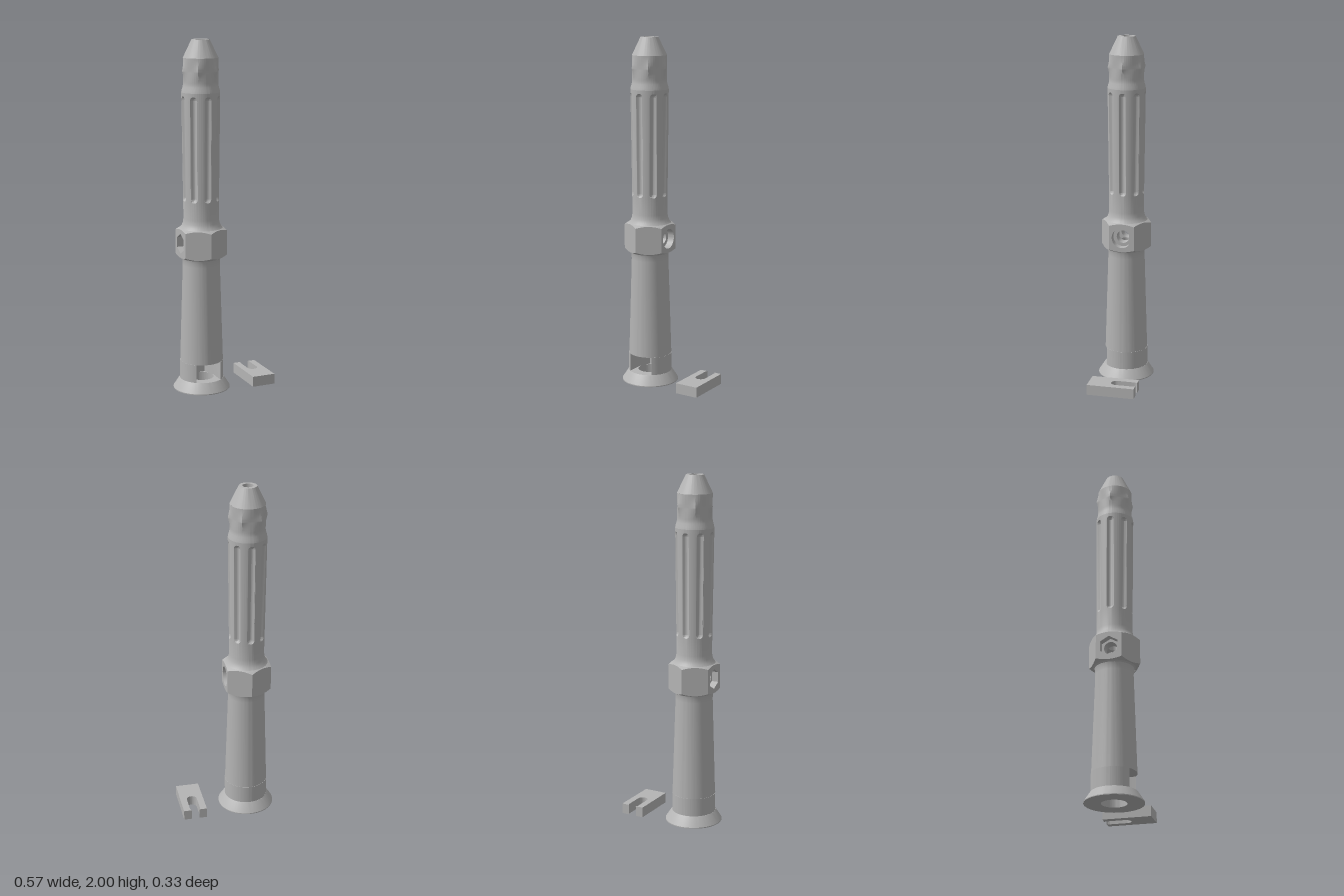
import * as THREE from 'three';
import { toCreasedNormals } from 'three/addons/utils/BufferGeometryUtils.js';

const N = 240; // segments around the axis
const DEG = Math.PI / 180;

// Radius of a regular hexagon with apothem a; the flat is centred on angle 0 unless shifted
function hexRadius(a, theta, shift = 0) {
  const s = 60 * DEG;
  const t = theta + shift + s / 2 + 4 * s;
  return a / Math.cos(t - Math.floor(t / s + 1e-6) * s - s / 2);
}

// Skin around the y axis; each row maps an angle to [radius, height]
function skin(rows, skip = () => false) {
  const pos = [], idx = [];
  for (const row of rows) {
    for (let j = 0; j <= N; j++) {
      const t = (j % N) / N * Math.PI * 2;
      const [r, y] = row(t);
      pos.push(r * Math.cos(t), y, r * Math.sin(t));
    }
  }
  for (let i = 0; i < rows.length - 1; i++) {
    for (let j = 0; j < N; j++) {
      if (skip((j + 0.5) / N * Math.PI * 2)) continue;
      const a = i * (N + 1) + j, c = a + N + 1;
      idx.push(a, c, a + 1, a + 1, c, c + 1);
    }
  }
  const g = new THREE.BufferGeometry();
  g.setAttribute('position', new THREE.Float32BufferAttribute(pos, 3));
  g.setIndex(idx);
  return toCreasedNormals(g, 30 * DEG);
}

const ring = (r, y) => () => [r, y];
const lathe = pts => toCreasedNormals(
  new THREE.LatheGeometry(pts.map(p => new THREE.Vector2(...p)), 96), 30 * DEG);

export function createModel() {
  const model = new THREE.Group();
  const tower = new THREE.Group();
  tower.name = 'tower';
  tower.position.x = -0.12;
  model.add(tower);
  const grey = new THREE.MeshStandardMaterial({ color: 0xb4b4b4, side: THREE.DoubleSide });
  grey.name = 'grey plastic';
  const add = (name, geometry, parent = tower) => {
    const m = new THREE.Mesh(geometry, grey);
    m.name = name;
    parent.add(m);
    return m;
  };

  // Base flange with its round opening
  add('baseFlange', lathe([[0.07, 0], [0.163, 0], [0.163, 0.005], [0.131, 0.054],
    [0.126, 0.06], [0.07, 0.06], [0.07, 0]]));

  // Wall around the front slot
  const wall = new THREE.Shape();
  wall.absarc(0, 0, 0.125, -53.7 * DEG, 233.7 * DEG, false);
  wall.lineTo(-0.074, 0);
  wall.lineTo(-0.048, 0.07);
  wall.lineTo(0.048, 0.07);
  wall.lineTo(0.074, 0);
  wall.closePath();
  const wallGeo = new THREE.ExtrudeGeometry(wall, { depth: 0.105, bevelEnabled: false, curveSegments: 80 });
  wallGeo.rotateX(-Math.PI / 2).translate(0, 0.06, 0);
  add('slotWall', toCreasedNormals(wallGeo, 30 * DEG));

  // Tapered lower body, closed underneath by the slot ceiling
  add('lowerBody', lathe([[0.03, 0.165], [0.1235, 0.165], [0.106, 0.73], [0.1065, 0.755],
    [0.11, 0.77], [0.12, 0.78]]));

  // Hexagonal collar with chamfered corners
  const A = 0.127;
  const top = t => 0.942 - (hexRadius(A, t) - A) * 0.6;
  const low = t => 0.778 + (hexRadius(A, t) - A) * 0.6;
  const lowEdge = t => [hexRadius(A, t), low(t)];
  const topEdge = t => [hexRadius(A, t), top(t)];
  add('collarSides', skin([lowEdge, topEdge], t => Math.abs(Math.cos(t)) > Math.cos(30 * DEG)));
  add('collarUnderside', skin([ring(0.118, 0.776), lowEdge]));
  add('collarTop', skin([topEdge, ring(0.121, 0.945)]));

  // Pierced collar faces: round counterbore on one side, hexagonal pocket on the other
  const Y = 0.86;
  for (const side of [1, -1]) {
    const sides = side > 0 ? 48 : 6;
    const R = 0.057;
    const pts = [];
    for (let d = -30; d <= 30; d += 1.5) pts.push(new THREE.Vector2(A * Math.tan(d * DEG), low(d * DEG)));
    for (let d = 30; d >= -30; d -= 1.5) pts.push(new THREE.Vector2(A * Math.tan(d * DEG), top(d * DEG)));
    const face = new THREE.Shape(pts);
    const hole = [];
    for (let i = 0; i < sides; i++) {
      const a = Math.PI / 2 - i / sides * Math.PI * 2;
      hole.push(new THREE.Vector2(R * Math.cos(a), Y + R * Math.sin(a)));
    }
    face.holes.push(new THREE.Path(hole));
    const turn = side * Math.PI / 2;
    add('collarFace', new THREE.ShapeGeometry(face).rotateY(turn).translate(side * A, 0, 0));

    const depth = 0.04;
    const pocket = new THREE.CylinderGeometry(R, R, depth, sides, 1, true, Math.PI / 2);
    pocket.rotateZ(Math.PI / 2).translate(side * (A - depth / 2), Y, 0);
    add('crossPocket', toCreasedNormals(pocket, 30 * DEG));
    add('pocketFloor', new THREE.RingGeometry(0.037, R, 48).rotateY(turn).translate(side * (A - depth), Y, 0));
    const tube = new THREE.CylinderGeometry(0.037, 0.037, 0.057, 48, 1, true);
    add('crossHole', tube.rotateZ(Math.PI / 2).translate(side * 0.0585, Y, 0));
  }

  // Fluted upper shaft: eight round-ended grooves
  const shaftR = y => 0.1 + 0.008 * THREE.MathUtils.clamp((y - 1) / 0.7, 0, 1);
  const W = 0.02, y0 = 1.12, y1 = 1.67;
  const fluted = y => t => {
    const step = Math.PI / 4, R = shaftR(y);
    const u = (t - Math.round(t / step) * step) * R;
    const dy = Math.max(0, y0 - y, y - y1);
    return [R - 0.015 * Math.max(0, 1 - (u * u + dy * dy) / (W * W)), y];
  };
  const rows = [ring(0.121, 0.945), ring(0.111, 0.957), ring(0.104, 0.975), ring(0.1, 1.0)];
  for (let i = 0; i <= 8; i++) rows.push(fluted(y0 - W + W * i / 8));
  for (let i = 0; i <= 8; i++) rows.push(fluted(y1 + W * i / 8));
  rows.push(ring(0.108, 1.71));
  add('flutedShaft', skin(rows));

  // Neck swelling from a circle to a hexagon and back, with corners on the x axis
  const neck = [ring(0.108, 1.71), ring(0.105, 1.725), ring(0.1, 1.742), ring(0.098, 1.755)];
  const blend = (y, k) => t => [THREE.MathUtils.lerp(0.098, hexRadius(0.096, t, 30 * DEG), k), y];
  for (let i = 0; i <= 8; i++) neck.push(blend(1.765 + 0.065 * i / 8, (i / 8) ** 1.4));
  for (let i = 7; i >= 0; i--) neck.push(blend(1.9 - 0.07 * i / 8, (i / 8) ** 1.4));
  add('hexNeck', skin(neck));

  // Conical tip with the bore opening
  add('tip', lathe([[0.098, 1.9], [0.05, 2], [0.03, 2]]));

  // Central bore, interrupted by the cross hole
  for (const [a, b] of [[0.165, 0.823], [0.897, 2]]) {
    const bore = new THREE.CylinderGeometry(0.03, 0.03, b - a, 48, 1, true);
    add('centralBore', bore.translate(0, (a + b) / 2, 0));
  }

  // Loose slotted clip lying beside the tower
  const clip = new THREE.Shape();
  const hw = 0.0685, hl = 0.1375, r = 0.03, cy = 0.118;
  const mouth = Math.asin((hl - cy) / r);
  clip.moveTo(-hw, -hl);
  clip.lineTo(hw, -hl);
  clip.lineTo(hw, hl);
  clip.lineTo(r * Math.cos(mouth), hl);
  clip.absarc(0, cy, r, mouth, 0, true);
  clip.absarc(0, 0.021, r, 0, -Math.PI, true);
  clip.absarc(0, cy, r, Math.PI, Math.PI - mouth, true);
  clip.lineTo(-hw, hl);
  clip.closePath();
  const clipGeo = new THREE.ExtrudeGeometry(clip, { depth: 0.06, bevelEnabled: false, curveSegments: 24 });
  clipGeo.rotateX(-Math.PI / 2).translate(0.2145, 0, 0);
  add('clip', toCreasedNormals(clipGeo, 30 * DEG), model);

  return model;
}
